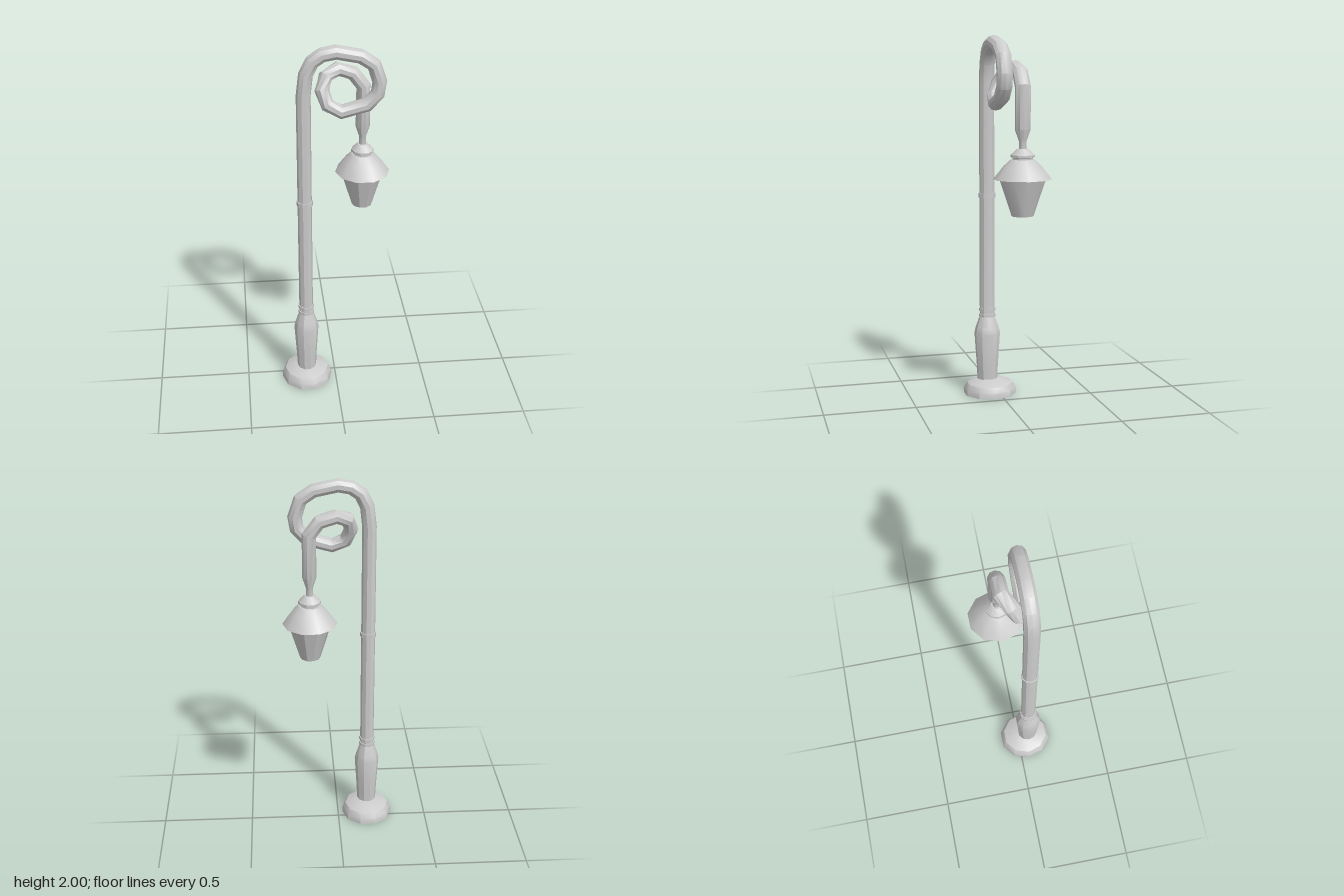
import * as THREE from 'three';
import { toCreasedNormals } from 'three/addons/utils/BufferGeometryUtils.js';

const SIDES = 10;
const CREASE = 0.6;
const material = new THREE.MeshStandardMaterial({ color: 0xcccccc });

function addMesh(group, name, geometry) {
  const mesh = new THREE.Mesh(toCreasedNormals(geometry, CREASE), material);
  mesh.name = name;
  group.add(mesh);
  return mesh;
}

// Ten-sided turned part, slightly deeper than wide; profile runs bottom to top as [radius, y]
function addTurned(group, name, x, z, profile) {
  const points = profile.map(([r, y]) => new THREE.Vector2(r, y));
  const geometry = new THREE.LatheGeometry(points, SIDES, Math.PI / 2);
  geometry.scale(1, 1, 1.07);
  geometry.translate(x, 0, z);
  return addMesh(group, name, geometry);
}

// Sweeps a ten-sided section along a polyline of [x, y, z, scale]
function sweep(path, rx, rz) {
  const centres = path.map(([x, y, z]) => new THREE.Vector3(x, y, z));
  const positions = [];
  const index = [];
  const direction = (a, b) => centres[b].clone().sub(centres[a]).normalize();
  const last = path.length - 1;
  path.forEach((point, i) => {
    const scale = point[3] ?? 1;
    const tangent = new THREE.Vector3();
    if (i > 0) tangent.add(direction(i - 1, i));
    if (i < last) tangent.add(direction(i, i + 1));
    tangent.normalize();
    const side = new THREE.Vector3(0, 0, 1).addScaledVector(tangent, -tangent.z).normalize();
    const normal = side.clone().cross(tangent);
    for (let j = 0; j < SIDES; j++) {
      const a = (j / SIDES) * Math.PI * 2;
      const p = centres[i].clone()
        .addScaledVector(normal, Math.cos(a) * rx * scale)
        .addScaledVector(side, Math.sin(a) * rz * scale);
      positions.push(p.x, p.y, p.z);
      if (i < last) {
        const k = (j + 1) % SIDES;
        const n = i * SIDES;
        index.push(n + j, n + k, n + SIDES + k, n + j, n + SIDES + k, n + SIDES + j);
      }
    }
  });
  const geometry = new THREE.BufferGeometry();
  geometry.setAttribute('position', new THREE.Float32BufferAttribute(positions, 3));
  geometry.setIndex(index);
  return geometry;
}

export function createModel() {
  const group = new THREE.Group();
  const poleX = -0.165, poleZ = 0.06;
  const lampX = 0.154, lampZ = -0.055;

  // Foot and swelling lower column
  addTurned(group, 'base', poleX, 0.045,
    [[0, 0], [0.14, 0], [0.138, 0.03], [0.122, 0.06], [0.06, 0.088], [0, 0.088]]);
  addTurned(group, 'lowerColumn', poleX, poleZ,
    [[0.052, 0.07], [0.056, 0.16], [0.068, 0.35], [0.06, 0.385], [0.04, 0.445], [0, 0.445]]);

  // Thin collars around the pole
  for (const y of [0.452, 0.485, 1.13]) {
    const h = y > 1 ? 0.013 : 0.008;
    addTurned(group, 'collar', poleX, poleZ,
      [[0.03, y - h], [0.044, y - h], [0.044, y + h], [0.03, y + h]]);
  }

  // Pole, curling once and stepping back to hang the lamp
  const path = [
    [poleX, 0.42, poleZ], [poleX, 1.74, poleZ], [-0.152, 1.85, poleZ],
    [-0.12, 1.915, poleZ], [-0.07, 1.95, poleZ], [0, 1.963, poleZ],
    [0.125, 1.937, poleZ], [0.193, 1.89, poleZ], [0.223, 1.8, poleZ],
    [0.213, 1.735, poleZ], [0.16, 1.678, poleZ], [0.03, 1.642, 0.058],
    [-0.04, 1.675, 0.045], [-0.067, 1.745, 0.018], [-0.045, 1.807, -0.015],
    [0.02, 1.833, -0.053], [0.1, 1.807, lampZ], [lampX, 1.735, lampZ],
    [lampX, 1.51, lampZ], [lampX, 1.45, lampZ, 0.48], [lampX, 1.38, lampZ, 0.48],
  ];
  addMesh(group, 'curledPole', sweep(path, 0.038, 0.042));

  // Hanging lamp: cap, shade and tapered lantern
  const lamp = new THREE.Group();
  lamp.name = 'lamp';
  group.add(lamp);
  addTurned(lamp, 'lampCap', lampX, lampZ,
    [[0, 1.345], [0.05, 1.345], [0.05, 1.363], [0.06, 1.366], [0.06, 1.378], [0.027, 1.41], [0, 1.41]]);
  addTurned(lamp, 'shade', lampX, lampZ,
    [[0, 1.25], [0.146, 1.25], [0.096, 1.318], [0.06, 1.354], [0, 1.354]]);
  addTurned(lamp, 'lantern', lampX, lampZ,
    [[0, 1.054], [0.055, 1.054], [0.116, 1.252]]);

  return group;
}
